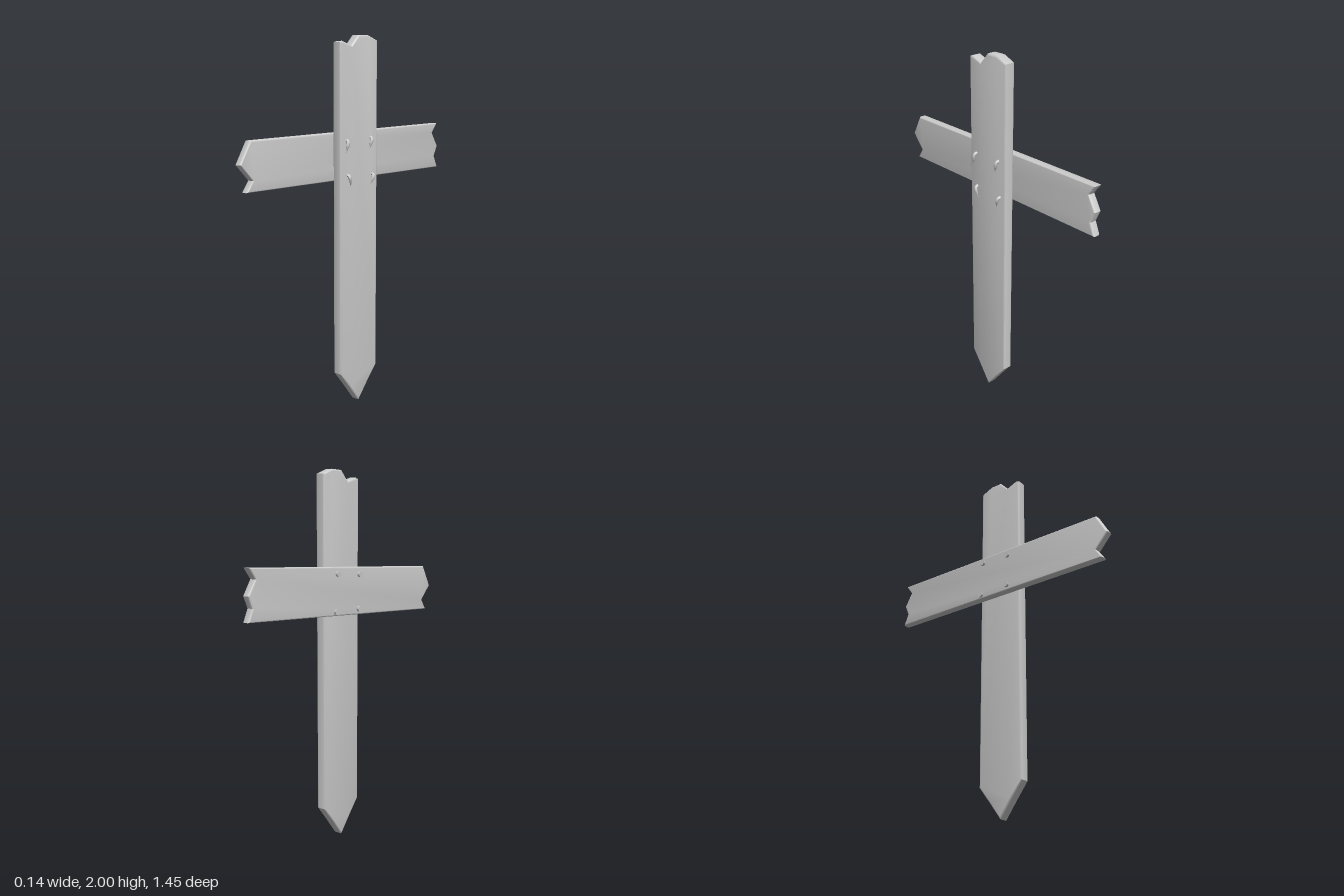
import * as THREE from 'three';
import { toCreasedNormals } from 'three/addons/utils/BufferGeometryUtils.js';

const material = new THREE.MeshStandardMaterial({ color: 0xcccccc });

// Board cut from a [z, y] outline, spanning x0..x1, with softly rounded edges
function board(name, outline, x0, x1) {
  const bevel = 0.009;
  const shape = new THREE.Shape(outline.map(([z, y]) => new THREE.Vector2(z, y)));
  const geometry = new THREE.ExtrudeGeometry(shape, {
    depth: x1 - x0 - 2 * bevel,
    bevelThickness: bevel,
    bevelSize: bevel,
    bevelOffset: -bevel,
    bevelSegments: 3,
  });
  geometry.rotateY(-Math.PI / 2);
  geometry.translate(x1 - bevel, 0, 0);
  const mesh = new THREE.Mesh(toCreasedNormals(geometry, 0.6), material);
  mesh.name = name;
  return mesh;
}

// Nail driven through both boards along x, its tip hammered over
function nail(z, y, tipZ, tipY) {
  const group = new THREE.Group();
  group.name = 'bentNail';

  // Head on the crossbar side
  const head = new THREE.Mesh(new THREE.CylinderGeometry(0.016, 0.014, 0.016, 12), material);
  head.name = 'nailHead';
  head.rotation.z = Math.PI / 2;
  head.position.set(-0.063, y, z);

  // Shank and bent tip, narrowing towards the end
  const at = (x, t) => new THREE.Vector3(x, y + (tipY - y) * t, z + (tipZ - z) * t);
  const path = new THREE.CatmullRomCurve3([
    at(-0.055, 0), at(0.045, 0), at(0.059, 0.1), at(0.061, 0.35), at(0.058, 0.7), at(0.054, 1),
  ]);
  const steps = 28, sides = 8;
  const geometry = new THREE.TubeGeometry(path, steps, 0.009, sides);
  const pos = geometry.attributes.position;
  const p = new THREE.Vector3();
  for (let i = 0; i <= steps; i++) {
    const centre = path.getPointAt(i / steps);
    const k = 1 - 0.85 * THREE.MathUtils.smoothstep(i / steps, 0.75, 1);
    for (let j = 0; j <= sides; j++) {
      const n = i * (sides + 1) + j;
      p.fromBufferAttribute(pos, n).sub(centre).multiplyScalar(k).add(centre);
      pos.setXYZ(n, p.x, p.y, p.z);
    }
  }
  geometry.computeVertexNormals();
  const shank = new THREE.Mesh(geometry, material);
  shank.name = 'nailShank';
  group.add(head, shank);
  return group;
}

export function createModel() {
  const model = new THREE.Group();
  model.name = 'woodenCross';

  // Upright with a splintered top and a pointed foot
  model.add(board('post', [
    [-0.013, 0], [0.055, 0.09], [0.124, 0.178], [0.124, 1.956], [0.105, 1.962], [0.04, 1.94],
    [-0.012, 1.997], [-0.08, 2], [-0.15, 1.974], [-0.15, 0.178], [-0.081, 0.09],
  ], -0.011, 0.047));

  // Slightly tilted crossbar with broken ends
  model.add(board('crossbar', [
    [0.69, 1.215], [0.653, 1.272], [0.728, 1.352], [0.664, 1.469],
    [-0.716, 1.519], [-0.675, 1.463], [-0.722, 1.385], [-0.696, 1.325], [-0.724, 1.259],
  ].reverse(), -0.056, -0.011));

  // Four nails around the joint: entry z, y and tip z, y
  for (const n of [
    [0.077, 1.45, 0.092, 1.383],
    [-0.098, 1.46, -0.082, 1.396],
    [0.071, 1.265, 0.056, 1.204],
    [-0.112, 1.262, -0.093, 1.204],
  ]) model.add(nail(...n));

  return model;
}
